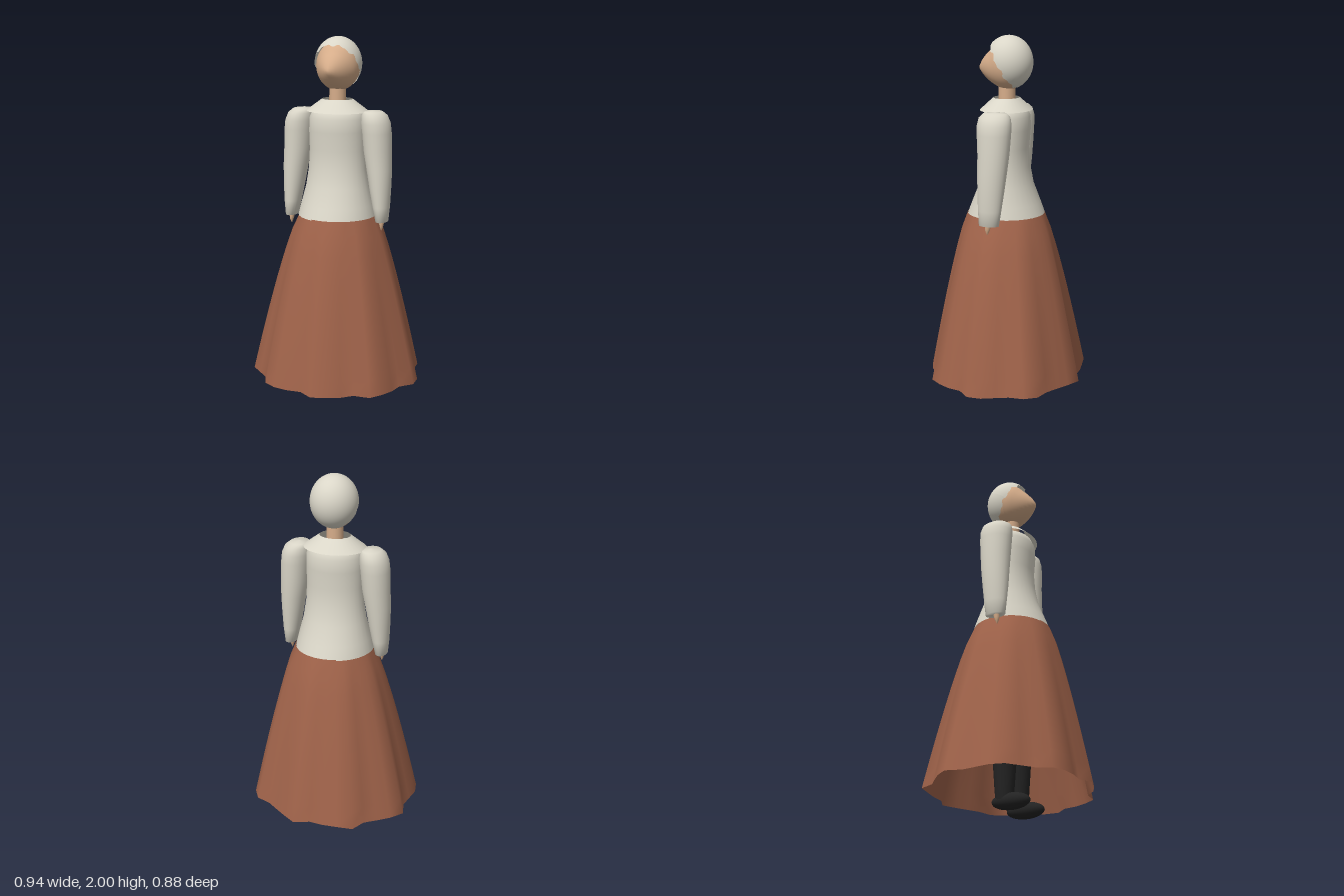
import * as THREE from 'three';

const mat = (name, color, side = THREE.FrontSide) => {
  const m = new THREE.MeshStandardMaterial({ color, side });
  m.name = name;
  return m;
};

// Skin of cross-sections, listed bottom to top as [y, rx, rz, cx, cz].
// point(section, angle, index) may override the ellipse; the angle runs from +z to +x.
function loft(sections, seg, point) {
  const ellipse = ([y, rx, rz, cx = 0, cz = 0], a) => [cx + rx * Math.sin(a), y, cz + rz * Math.cos(a)];
  const pos = [], idx = [];
  sections.forEach((s) => {
    for (let j = 0; j < seg; j++) pos.push(...(point || ellipse)(s, (j / seg) * Math.PI * 2, j));
  });
  for (let i = 0; i < sections.length - 1; i++) {
    for (let j = 0; j < seg; j++) {
      const k = (j + 1) % seg;
      const a = i * seg + j, b = i * seg + k, c = b + seg, d = a + seg;
      idx.push(a, b, c, a, c, d);
    }
  }
  const g = new THREE.BufferGeometry();
  g.setAttribute('position', new THREE.Float32BufferAttribute(pos, 3));
  g.setIndex(idx);
  g.computeVertexNormals();
  return g;
}

// Hem radius every ten degrees, starting at the front and going to the left
const HEM = [
  0.44, 0.426, 0.418, 0.399, 0.452, 0.446, 0.44, 0.427, 0.474,
  0.468, 0.443, 0.433, 0.462, 0.464, 0.423, 0.42, 0.43, 0.452,
  0.41, 0.422, 0.437, 0.467, 0.427, 0.442, 0.468, 0.492, 0.451,
  0.457, 0.477, 0.481, 0.447, 0.428, 0.457, 0.447, 0.423, 0.398,
];

export function createModel() {
  const root = new THREE.Group();
  const cream = mat('cream', 0xdad6c8);
  const creamOpen = mat('creamOpen', 0xdad6c8, THREE.DoubleSide);
  const rust = mat('rust', 0xa0634a, THREE.DoubleSide);
  const skin = mat('skin', 0xd6ad8a);
  const black = mat('black', 0x232323);
  const add = (name, geo, material, parent = root) => {
    const m = new THREE.Mesh(geo, material);
    m.name = name;
    parent.add(m);
    return m;
  };

  // Skirt: smooth at the waist, folds growing towards the hem
  const levels = [];
  for (let i = 10; i >= 0; i--) levels.push([i / 10]);
  add('skirt', loft(levels, 36, ([t], a, j) => {
    const dx = 1.07 * Math.sin(a), dz = Math.cos(a), len = Math.hypot(dx, dz);
    const r = 0.212 + (HEM[j] - 0.212) * Math.pow(t, 0.8);
    return [(dx / len) * r, 1.04 - 0.915 * t, (dz / len) * r];
  }), rust);

  const upper = new THREE.Group();
  upper.name = 'upperBody';
  upper.position.x = -0.005;
  root.add(upper);

  // Bodice and open collar
  add('bodice', loft([
    [1.035, 0.215, 0.212], [1.1, 0.2, 0.187], [1.2, 0.175, 0.147], [1.3, 0.16, 0.127],
    [1.4, 0.155, 0.12], [1.5, 0.157, 0.13], [1.57, 0.154, 0.128], [1.61, 0.135, 0.11],
    [1.63, 0.09, 0.075], [1.635, 0.03, 0.03],
  ], 32), creamOpen, upper);
  add('collar', loft([[1.605, 0.172, 0.14], [1.67, 0.084, 0.07]], 32), creamOpen, upper);

  // Neck
  const neck = add('neck', new THREE.CylinderGeometry(0.045, 0.046, 0.19, 20), skin, upper);
  neck.position.set(0, 1.665, -0.003);

  // Face: ellipsoid drawn out to a pointed nose
  const face = new THREE.SphereGeometry(1, 40, 32);
  const p = face.attributes.position;
  for (let i = 0; i < p.count; i++) {
    const x = p.getX(i) * 0.118, y = p.getY(i) * 0.132, z = p.getZ(i) * 0.118;
    const d = Math.hypot(x / 0.1, (y + 0.02) / 0.1);
    const nose = z > 0 ? 0.05 * Math.max(0, 1 - d) : 0;
    p.setXYZ(i, x, y + 1.845, z - 0.012 + nose);
  }
  face.computeVertexNormals();
  add('face', face, skin, upper);

  // Hair: cap open towards the face, with a slightly ragged edge
  const rings = 24, seg = 64, edge = 1.79;
  const hair = new THREE.SphereGeometry(1, seg, rings, 0, Math.PI * 2, 0, edge);
  const h = hair.attributes.position;
  for (let j = 0; j <= seg; j++) {
    const a = ((j % seg) / seg) * Math.PI * 2, i = rings * (seg + 1) + j;
    const t = edge + 0.04 * Math.sin(9 * a) + 0.035 * Math.sin(16 * a + 1);
    h.setXYZ(i, -Math.cos(a) * Math.sin(t), Math.cos(t), Math.sin(a) * Math.sin(t));
  }
  hair.rotateX(-1.008);
  hair.scale(0.127, 0.143, 0.13);
  hair.translate(0, 1.857, -0.014);
  hair.computeVertexNormals();
  add('hair', hair, creamOpen, upper);

  for (const [side, s] of [['left', 1], ['right', -1]]) {
    // Sleeve, full at the shoulder and narrow at the cuff
    add(side + 'Sleeve', loft([
      [1.02, 0.001, 0.001, s * 0.262, 0.017], [1.02, 0.033, 0.055, s * 0.262, 0.017],
      [1.1, 0.046, 0.063, s * 0.257, 0.014], [1.2, 0.058, 0.072, s * 0.249, 0.01],
      [1.3, 0.068, 0.079, s * 0.241, 0.005], [1.4, 0.075, 0.085, s * 0.23, 0.001],
      [1.5, 0.078, 0.091, s * 0.224, 0], [1.55, 0.078, 0.092, s * 0.218, 0],
      [1.59, 0.068, 0.084, s * 0.21, 0], [1.61, 0.05, 0.063, s * 0.202, 0],
      [1.616, 0.001, 0.001, s * 0.2, 0],
    ], 24), cream, upper);

    // Fingertips below the cuff
    add(side + 'Hand', loft([
      [0.968, 0.001, 0.001, s * 0.262, 0.026], [0.985, 0.008, 0.01, s * 0.263, 0.026],
      [1.005, 0.013, 0.016, s * 0.262, 0.024], [1.06, 0.018, 0.02, s * 0.26, 0.02],
    ], 10), skin, upper);

    // Leg and shoe
    add(side + 'Leg', loft([
      [0.05, 0.046, 0.046, s * 0.097], [0.12, 0.052, 0.052, s * 0.096],
      [0.35, 0.066, 0.068, s * 0.095], [0.6, 0.074, 0.076, s * 0.095],
      [1.0, 0.085, 0.09, s * 0.092], [1.0, 0.001, 0.001, s * 0.092],
    ], 20), black, upper);
    const shoe = add(side + 'Shoe', new THREE.SphereGeometry(1, 24, 16), black, upper);
    shoe.scale.set(0.049, 0.044, 0.105);
    shoe.position.set(s * 0.097, 0.046, 0.036);
  }
  return root;
}
